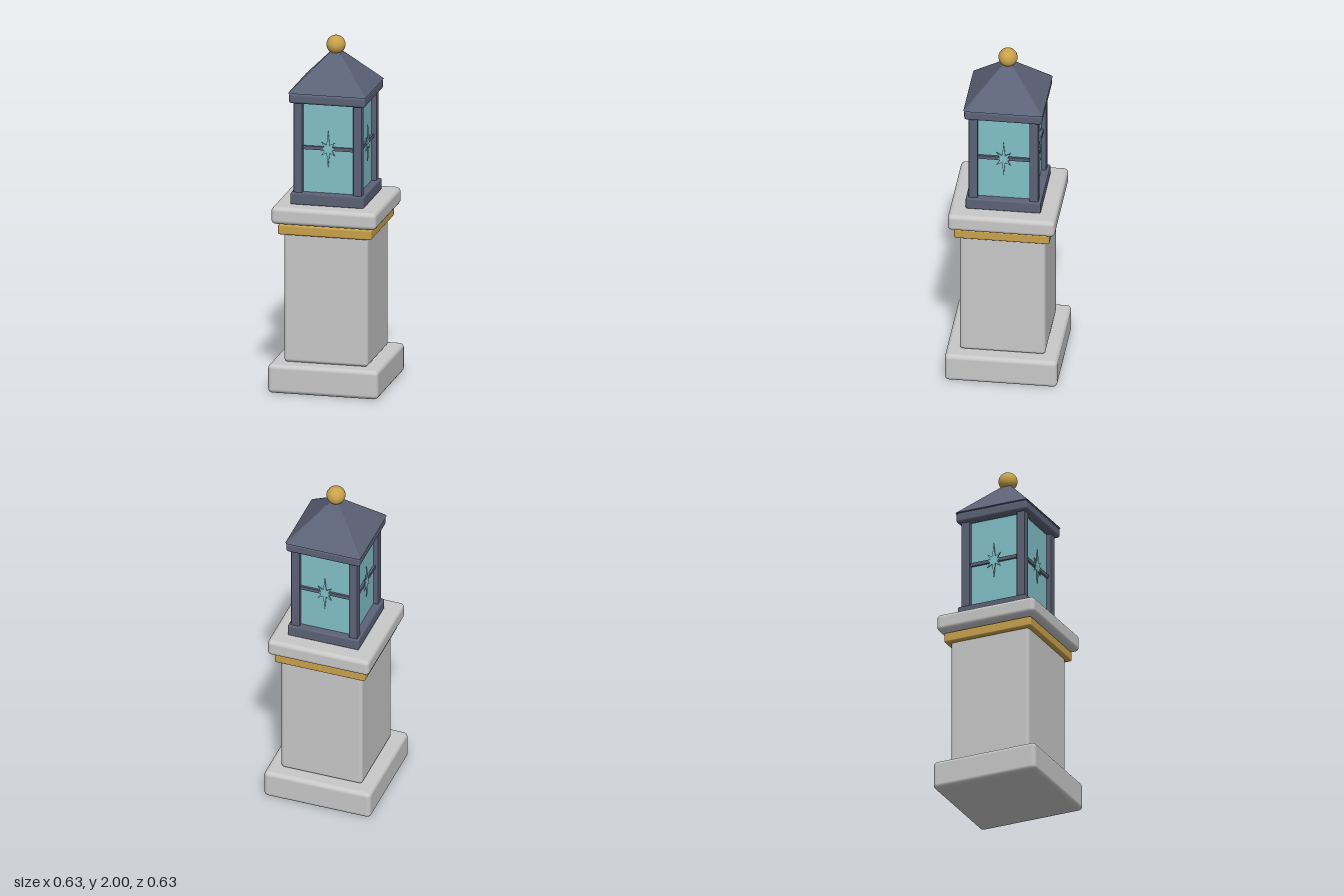
import * as THREE from 'three';
import { RoundedBoxGeometry } from 'three/addons/geometries/RoundedBoxGeometry.js';

const material = (name, color) => {
  const m = new THREE.MeshStandardMaterial({ color });
  m.name = name;
  return m;
};

export function createModel() {
  const model = new THREE.Group();
  model.name = 'lanternPillar';
  const stone = material('stone', 0xc8c8c8);
  const gold = material('gold', 0xc9a24c);
  const slate = material('slate', 0x5c6277);
  const glass = material('glass', 0x82c0c8);

  const add = (parent, name, geometry, mat, x = 0, y = 0, z = 0) => {
    const mesh = new THREE.Mesh(geometry, mat);
    mesh.name = name;
    mesh.position.set(x, y, z);
    parent.add(mesh);
    return mesh;
  };
  // Square rounded block given by its half width and height range
  const block = (name, half, y0, y1, radius, mat) =>
    add(model, name, new RoundedBoxGeometry(half * 2, y1 - y0, half * 2, 3, radius), mat, 0, (y0 + y1) / 2, 0);

  // Pillar
  block('plinth', 0.315, 0, 0.165, 0.025, stone);
  block('shaft', 0.24, 0.165, 0.98, 0.02, stone);
  block('goldBand', 0.267, 0.905, 0.963, 0.01, gold);
  block('capstone', 0.3, 0.97, 1.068, 0.025, stone);

  // Lantern body
  block('lanternBase', 0.21, 1.068, 1.135, 0.008, slate);
  block('eave', 0.218, 1.65, 1.708, 0.015, slate);
  add(model, 'glassBody', new THREE.BoxGeometry(0.335, 0.52, 0.335), glass, 0, 1.392, 0);
  for (const x of [-1, 1]) for (const z of [-1, 1]) {
    add(model, 'cornerPost', new RoundedBoxGeometry(0.05, 0.53, 0.05, 2, 0.005), slate, x * 0.17, 1.392, z * 0.17);
  }

  // Eight-pointed star: long upright rays, short side and diagonal rays
  const star = new THREE.Shape();
  const rays = [0.032, 0.056, 0.105, 0.056];
  for (let i = 0; i < 16; i++) {
    const angle = (i * Math.PI) / 8;
    const r = i % 2 ? 0.024 : rays[(i / 2) % 4];
    star[i ? 'lineTo' : 'moveTo'](Math.cos(angle) * r, Math.sin(angle) * r);
  }
  const starGeometry = new THREE.ExtrudeGeometry(star, { depth: 0.006, bevelEnabled: false });

  // The same crossbar and star on all four sides
  for (let i = 0; i < 4; i++) {
    const side = new THREE.Group();
    side.name = 'windowTrim';
    side.rotation.y = (i * Math.PI) / 2;
    add(side, 'crossbar', new THREE.BoxGeometry(0.3, 0.02, 0.02), slate, 0, 1.392, 0.17);
    add(side, 'star', starGeometry, glass, 0, 1.392, 0.178);
    model.add(side);
  }

  // Pyramid roof with narrowly bevelled hips
  const half = 0.222, bevel = 0.01;
  const ring = new THREE.CylinderGeometry(0.02, 1, 0.225, 8, 1);
  const pos = ring.attributes.position;
  for (let i = 0; i < pos.count; i++) {
    const x = pos.getX(i), z = pos.getZ(i);
    const r = Math.hypot(x, z);
    if (r < 1e-6) continue;
    // Turn the octagon by half a step, then push its corners out to a square
    const a = Math.atan2(z, x) + Math.PI / 8;
    const c = Math.cos(a), s = Math.sin(a);
    const wideX = Math.abs(c) > Math.abs(s);
    pos.setX(i, Math.sign(c) * r * (wideX ? half : half - bevel));
    pos.setZ(i, Math.sign(s) * r * (wideX ? half - bevel : half));
  }
  const roof = ring.toNonIndexed();
  roof.computeVertexNormals();
  add(model, 'roof', roof, slate, 0, 1.8205, 0);

  add(model, 'finial', new THREE.SphereGeometry(0.053, 32, 20), gold, 0, 1.947, 0);
  return model;
}
